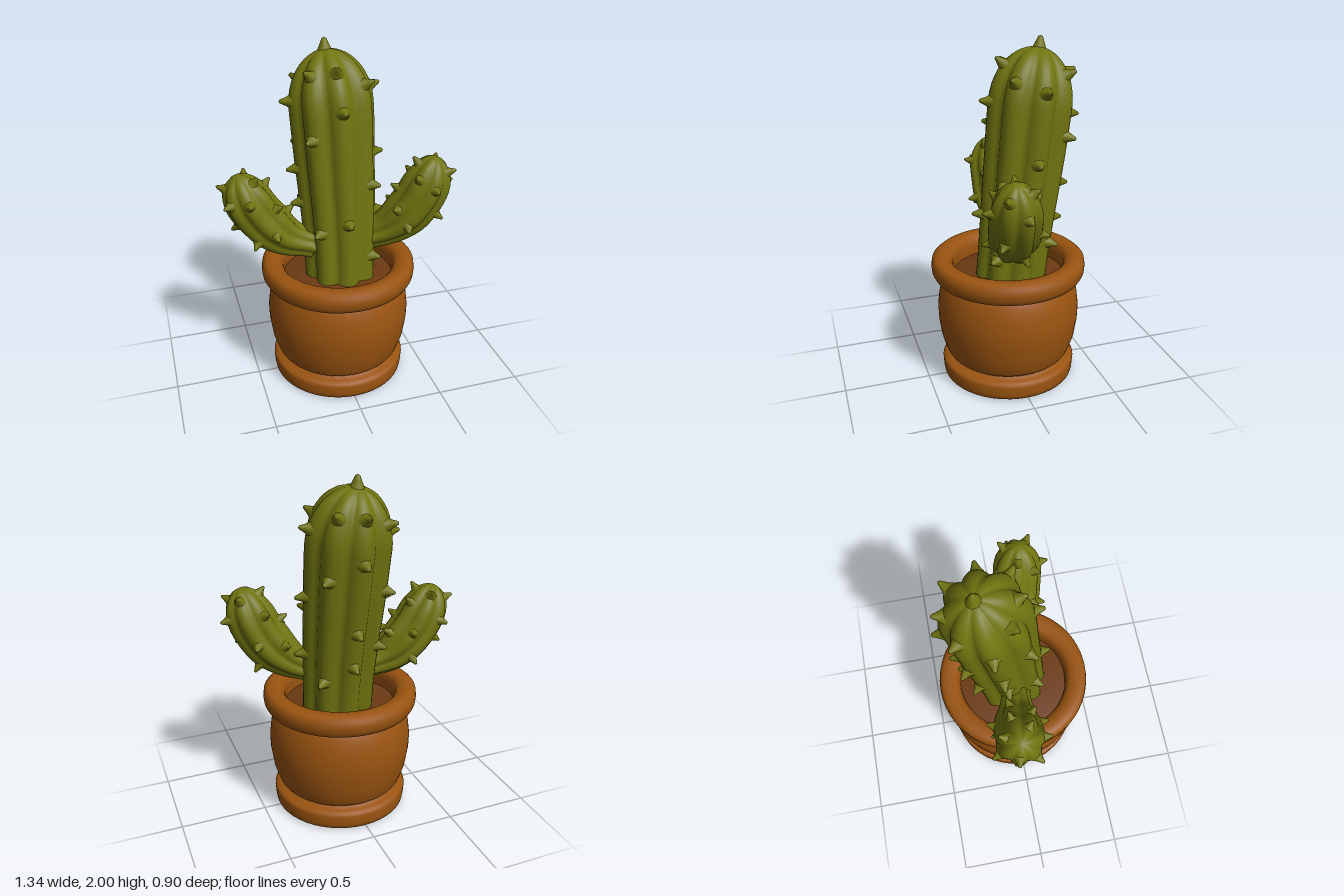
import * as THREE from 'three';

const V = (x, y, z) => new THREE.Vector3(x, y, z);

const cactusGreen = new THREE.MeshStandardMaterial({ name: 'cactusGreen', color: 0x70740f });
const terracotta = new THREE.MeshStandardMaterial({ name: 'terracotta', color: 0x9a5410 });
const soilBrown = new THREE.MeshStandardMaterial({ name: 'soilBrown', color: 0x6c3a12 });

// Surface of a ribbed stem: angle 0 faces +z, the end is closed by a dome
function stemSurface({ path, r0, r1, grow, dome, ribs, depth }) {
  const curve = new THREE.CatmullRomCurve3(path.map(p => V(...p)));
  return (t, a) => {
    const T = curve.getTangentAt(t);
    const e1 = V(0, 0, 1).addScaledVector(T, -T.z).normalize();
    const e2 = T.clone().cross(e1);
    const d = Math.max(0, (t - dome) / (1 - dome));
    const rib = 1 - depth * (1 - Math.abs(Math.cos(ribs * a / 2)));
    const base = r0 + (r1 - r0) * THREE.MathUtils.smoothstep(t, 0, grow);
    const r = base * rib * Math.sqrt(Math.max(0, 1 - d * d));
    return curve.getPointAt(t)
      .addScaledVector(e1, r * Math.cos(a))
      .addScaledVector(e2, r * Math.sin(a));
  };
}

function stemGeometry(surface, { dome, ribs }) {
  const rows = [], n = ribs * 8, pos = [], index = [];
  for (let i = 0; i < 20; i++) rows.push(dome * i / 20);
  for (let i = 0; i <= 12; i++) rows.push(dome + (1 - dome) * Math.sin(i / 12 * Math.PI / 2));
  rows.forEach((t, j) => {
    for (let i = 0; i < n; i++) {
      pos.push(...surface(Math.min(t, 1), i / n * Math.PI * 2).toArray());
      if (j === rows.length - 1) continue;
      const a = j * n + i, b = j * n + (i + 1) % n;
      index.push(a, b, b + n, a, b + n, a + n);
    }
  });
  const g = new THREE.BufferGeometry();
  g.setAttribute('position', new THREE.Float32BufferAttribute(pos, 3));
  g.setIndex(index);
  g.computeVertexNormals();
  return g;
}

// Thorn with a flared foot
const thornGeometry = new THREE.LatheGeometry(
  [[0.042, -0.014], [0.027, 0.008], [0.017, 0.03], [0.01, 0.048], [0, 0.054]]
    .map(p => new THREE.Vector2(...p)), 10);

function addThorn(group, point, normal, size = 1) {
  const thorn = new THREE.Mesh(thornGeometry, cactusGreen);
  thorn.name = 'thorn';
  thorn.position.copy(point);
  thorn.quaternion.setFromUnitVectors(V(0, 1, 0), normal);
  thorn.scale.setScalar(size);
  group.add(thorn);
}

// Stem with rows of thorns along its ribs
function makeStem(name, spec, thorns, size) {
  const group = new THREE.Group();
  group.name = name;
  const surface = stemSurface(spec);
  const body = new THREE.Mesh(stemGeometry(surface, spec), cactusGreen);
  body.name = name + 'Body';
  group.add(body);
  thorns.forEach((row, k) => row.forEach(t => {
    const a = k / spec.ribs * Math.PI * 2, e = 0.01;
    const across = surface(t, a + e).sub(surface(t, a - e));
    const along = surface(t + e, a).sub(surface(t - e, a));
    addThorn(group, surface(t, a), across.cross(along).normalize(), size);
  }));
  return group;
}

export function createModel() {
  const model = new THREE.Group();
  model.name = 'pottedCactus';

  // Pot: foot, bulging wall, rolled rim and inner wall
  const profile = [
    [0, 0], [0.375, 0], [0.392, 0.008], [0.396, 0.03], [0.4, 0.085], [0.39, 0.102],
    [0.365, 0.11], [0.335, 0.115], [0.335, 0.13], [0.36, 0.142], [0.375, 0.165],
    [0.402, 0.25], [0.418, 0.36], [0.42, 0.44], [0.41, 0.52], [0.393, 0.585],
    [0.378, 0.607], [0.375, 0.62], [0.4, 0.625], [0.432, 0.638], [0.447, 0.665],
    [0.451, 0.7], [0.446, 0.735], [0.425, 0.753], [0.39, 0.758], [0.35, 0.75],
    [0.328, 0.725], [0.322, 0.69], [0.325, 0.6],
  ].map(p => new THREE.Vector2(...p));
  const pot = new THREE.Mesh(new THREE.LatheGeometry(profile, 48), terracotta);
  pot.name = 'pot';
  pot.position.x = 0.01;
  model.add(pot);

  // Soil, slightly mounded
  const soil = new THREE.Mesh(new THREE.LatheGeometry(
    [[0.33, 0.635], [0.22, 0.65], [0, 0.66]].map(p => new THREE.Vector2(...p)), 40), soilBrown);
  soil.name = 'soil';
  soil.position.x = 0.01;
  model.add(soil);

  // Trunk leaning backwards
  const trunk = makeStem('trunk', {
    path: [[0.03, 0.62, -0.01], [0.03, 0.95, -0.045], [0.02, 1.35, -0.095], [0.01, 1.68, -0.135], [-0.01, 1.94, -0.185]],
    r0: 0.212, r1: 0.242, grow: 0.8, dome: 0.77, ribs: 8, depth: 0.17,
  }, [
    [0.29, 0.765, 0.91], [0.12, 0.44, 0.85], [0.29, 0.55, 0.83], [0.2, 0.66, 0.91],
    [0.28, 0.44, 0.74, 0.92], [0.35, 0.6, 0.89], [0.37, 0.52, 0.81], [0.25, 0.66, 0.91],
  ], 1);
  addThorn(trunk, V(-0.01, 1.925, -0.183), V(-0.02, 1, -0.12).normalize(), 1.4);
  model.add(trunk);

  // Side arms
  const armThorns = [[0.4, 0.78], [0.58, 0.92], [0.4, 0.8], [0.55, 0.93], [0.38, 0.75], [0.6, 0.92], [0.45, 0.82]];
  const arm = { r0: 0.085, r1: 0.142, grow: 0.5, dome: 0.68, ribs: 7, depth: 0.16 };
  model.add(makeStem('leftArm', {
    ...arm,
    path: [[0.16, 0.87, 0.02], [0.3, 0.94, 0.06], [0.42, 1.06, 0.095], [0.5, 1.21, 0.115], [0.545, 1.37, 0.13]],
  }, armThorns, 0.8));
  model.add(makeStem('rightArm', {
    ...arm,
    path: [[-0.13, 0.85, -0.01], [-0.3, 0.92, -0.035], [-0.43, 1.05, -0.05], [-0.505, 1.18, -0.055], [-0.55, 1.315, -0.06]],
  }, armThorns, 0.8));

  return model;
}
